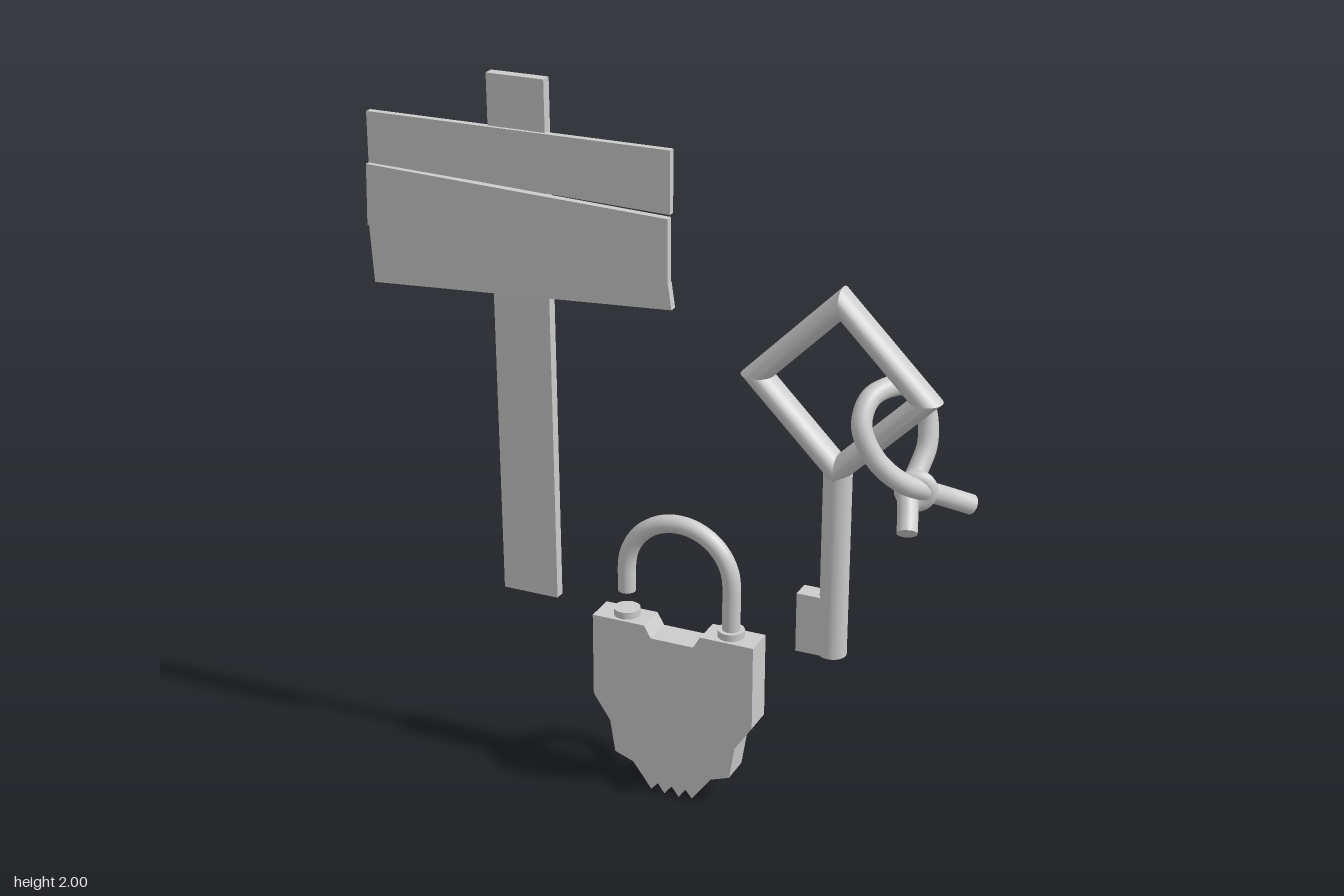
import * as THREE from 'three';
import { toCreasedNormals } from 'three/addons/utils/BufferGeometryUtils.js';

const material = new THREE.MeshStandardMaterial({ color: 0xcccccc });

function part(name, geometry, x = 0, y = 0, z = 0) {
  const mesh = new THREE.Mesh(geometry, material);
  mesh.name = name;
  mesh.position.set(x, y, z);
  return mesh;
}

// Flat outline extruded from z0 to z1
function slab(name, outline, z0, z1) {
  const shape = new THREE.Shape(outline.map(([x, y]) => new THREE.Vector2(x, y)));
  const geometry = new THREE.ExtrudeGeometry(shape, { depth: z1 - z0, bevelEnabled: false });
  return part(name, geometry.translate(0, 0, z0));
}

// Tube along a curve, closed with a disc at each end
function cappedTube(name, curve, radius, segments) {
  const group = new THREE.Group();
  group.name = name;
  group.add(part(name + 'Tube', new THREE.TubeGeometry(curve, segments, radius, 16)));
  for (const t of [0, 1]) {
    const end = curve.getPointAt(t);
    const cap = part(name + 'End', new THREE.CircleGeometry(radius, 16), end.x, end.y, end.z);
    cap.lookAt(end.clone().addScaledVector(curve.getTangentAt(t), t ? 1 : -1));
    group.add(cap);
  }
  return group;
}

function createSign() {
  const sign = new THREE.Group();
  sign.name = 'signpost';
  // Post leaning slightly forward
  const post = part('post', new THREE.BoxGeometry(0.165, 1.475, 0.03), -0.393, 1.2625, 0.031);
  post.rotation.x = 0.015;
  sign.add(post);
  // Three uneven, overlapping boards
  const boards = [
    [[[-0.83, 1.72], [0.043, 1.692], [0.043, 1.86], [-0.83, 1.86]], 0.043, 0.063],
    [[[-0.835, 1.55], [0.043, 1.51], [0.043, 1.685], [-0.83, 1.72]], 0.056, 0.077],
    [[[-0.825, 1.388], [0.05, 1.44], [0.04, 1.51], [-0.835, 1.55]], 0.046, 0.069],
  ];
  boards.forEach(([outline, z0, z1], i) => {
    const board = slab('board' + (i + 1), outline, z0, z1);
    board.rotation.y = 0.006;
    sign.add(board);
  });
  return sign;
}

function createPadlock() {
  const lock = new THREE.Group();
  lock.name = 'padlock';
  // Half outline, mirrored to make the body with its jagged bottom
  const half = [
    [0.063, 0.48], [0.083, 0.515], [0.238, 0.515], [0.238, 0.27], [0.188, 0.195],
    [0.173, 0.1], [0.118, 0.08], [0.062, 0.005], [0.042, 0.028], [0.022, 0], [0, 0.028],
  ];
  const mirrored = half.slice(0, -1).reverse().map(([x, y]) => [-x, y]);
  lock.add(slab('lockBody', [...half, ...mirrored], -0.02, 0.068));
  for (const side of [-1, 1]) {
    lock.add(part('collar', new THREE.CylinderGeometry(0.037, 0.037, 0.03, 20), side * 0.155, 0.52, 0.022));
  }
  // Open shackle: short leg, half circle, long leg
  const r = 0.155, z = 0.022, archY = 0.66;
  const points = [new THREE.Vector3(-r, 0.588, z), new THREE.Vector3(-r, 0.624, z)];
  for (let i = 0; i <= 12; i++) {
    const a = Math.PI * (1 - i / 12);
    points.push(new THREE.Vector3(r * Math.cos(a), archY + r * Math.sin(a), z));
  }
  points.push(new THREE.Vector3(r, 0.6, z), new THREE.Vector3(r, 0.52, z));
  lock.add(cappedTube('shackle', new THREE.CatmullRomCurve3(points), 0.025, 64));
  lock.position.x = 0.052;
  return lock;
}

function createKey() {
  const key = new THREE.Group();
  key.name = 'key';
  const x = 0.497, z = 0.018;
  // Diamond handle is a four-sided torus
  const bow = toCreasedNormals(new THREE.TorusGeometry(0.227, 0.044, 20, 4), 0.6);
  key.add(part('handle', bow, x, 1.285, z));
  key.add(part('shaft', new THREE.CylinderGeometry(0.038, 0.038, 0.535, 20), x, 0.7925, z));
  key.add(part('bit', new THREE.BoxGeometry(0.08, 0.17, 0.055), 0.442, 0.61, z));
  return key;
}

function createRope() {
  const rope = new THREE.Group();
  rope.name = 'rope';
  // Loop through the key handle, crossing at the knot into two tails
  const path = [
    [0.815, 0.965, -0.115], [0.765, 1.0, -0.06], [0.73, 1.035, 0], [0.685, 1.07, 0.055],
    [0.625, 1.14, 0.096], [0.586, 1.225, 0.1], [0.588, 1.282, 0.055], [0.62, 1.298, -0.01],
    [0.655, 1.28, -0.072], [0.685, 1.215, -0.102], [0.7, 1.13, -0.085], [0.692, 1.07, -0.04],
    [0.685, 1.03, 0.01], [0.7, 0.985, 0.05], [0.712, 0.948, 0.086],
  ];
  const curve = new THREE.CatmullRomCurve3(path.map((p) => new THREE.Vector3(...p)));
  rope.add(cappedTube('ropeLoop', curve, 0.027, 90));
  // Turn wrapped round the crossing
  const wrap = part('knot', new THREE.TorusGeometry(0.035, 0.022, 12, 24), 0.706, 1.035, 0.01);
  wrap.rotation.y = 0.3;
  rope.add(wrap);
  return rope;
}

export function createModel() {
  const model = new THREE.Group();
  model.name = 'signLockAndKey';
  model.add(createSign(), createPadlock(), createKey(), createRope());
  return model;
}
